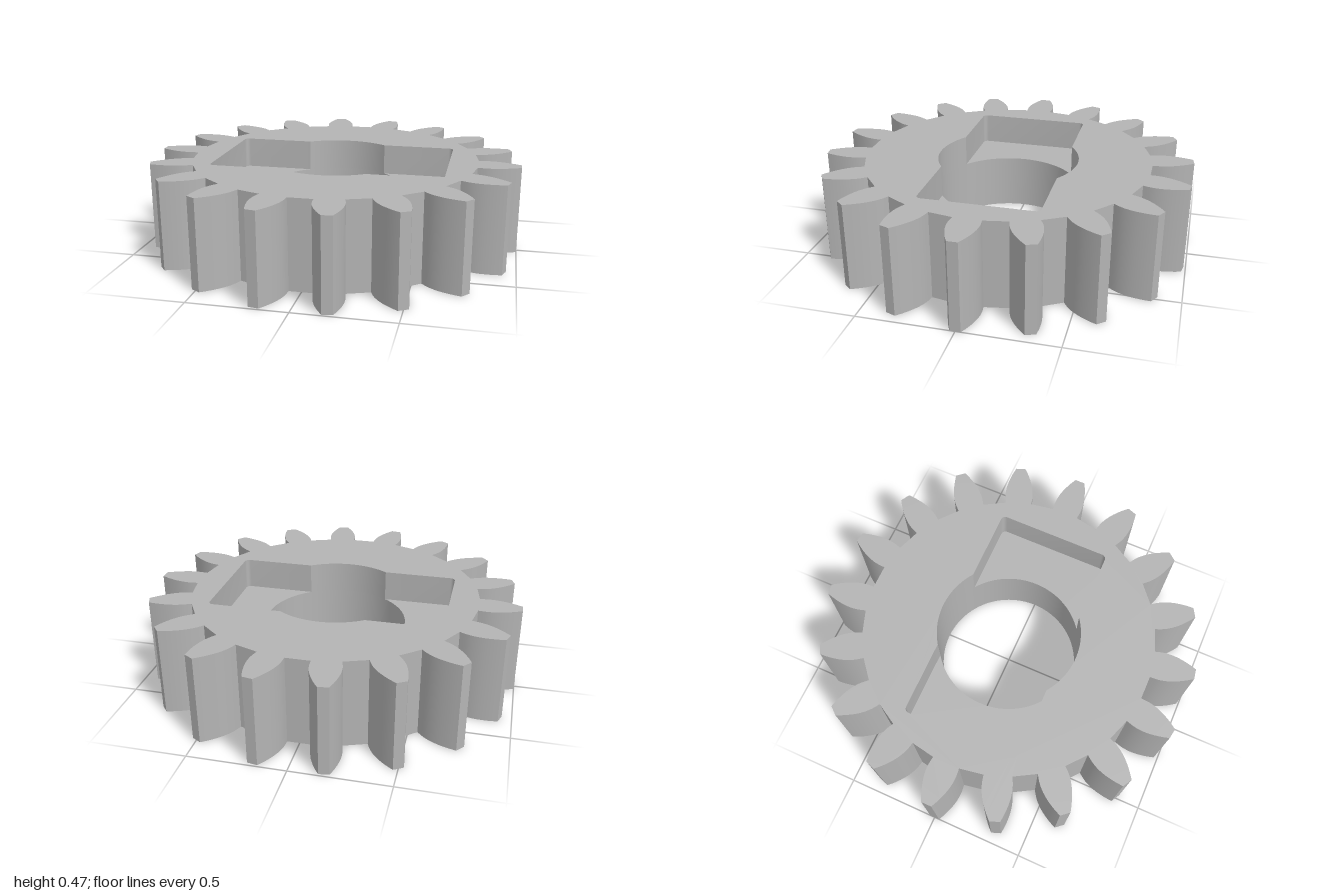
import * as THREE from 'three';
import { toCreasedNormals } from 'three/addons/utils/BufferGeometryUtils.js';

const TEETH = 18, HEIGHT = 0.47, FLOOR = 0.3;
const BORE = 0.383, POCKET_X = 0.62, POCKET_Z = 0.312, CORNER = 0.025;

const V = (x, y) => new THREE.Vector2(x, y);

// Points along an arc, from angle a to angle b
function arc(cx, cy, r, a, b, n) {
  return Array.from({ length: n + 1 }, (_, i) => {
    const t = a + (b - a) * i / n;
    return V(cx + r * Math.cos(t), cy + r * Math.sin(t));
  });
}

// Counter-clockwise outline: one curved tooth repeated around the centre
function gearOutline() {
  const flank = new THREE.SplineCurve([
    V(0.774, 0.072), V(0.82, 0.077), V(0.865, 0.074),
    V(0.91, 0.064), V(0.96, 0.046), V(1, 0.027),
  ]).getPoints(12);
  const tooth = [
    ...flank.map(p => V(p.x, -p.y)),
    ...flank.slice().reverse(),
  ];
  const points = [];
  for (let i = 0; i < TEETH; i++) {
    const a = i * Math.PI * 2 / TEETH;
    tooth.forEach(p => points.push(p.clone().rotateAround(V(0, 0), a)));
  }
  return points;
}

// Flat horizontal face at height y
function face(points, holes, y) {
  const shape = new THREE.Shape(points);
  holes.forEach(h => shape.holes.push(new THREE.Path(h)));
  return new THREE.ShapeGeometry(shape).rotateX(-Math.PI / 2).translate(0, y, 0);
}

// Vertical wall along a closed outline; faces outward for counter-clockwise points
function wall(points, y0, y1) {
  const pos = [];
  points.forEach((a, i) => {
    const b = points[(i + 1) % points.length];
    pos.push(a.x, y0, -a.y, b.x, y0, -b.y, b.x, y1, -b.y);
    pos.push(a.x, y0, -a.y, b.x, y1, -b.y, a.x, y1, -a.y);
  });
  const g = new THREE.BufferGeometry();
  g.setAttribute('position', new THREE.Float32BufferAttribute(pos, 3));
  g.computeVertexNormals();
  return toCreasedNormals(g, 0.45);
}

export function createModel() {
  const group = new THREE.Group();
  group.name = 'gear';
  const grey = new THREE.MeshStandardMaterial({ color: 0xb4b4b4 });
  grey.name = 'grey';
  const add = (name, geometry) => {
    const mesh = new THREE.Mesh(geometry, grey);
    mesh.name = name;
    group.add(mesh);
    return mesh;
  };

  const outline = gearOutline();

  // Angle at which the pocket sides meet the bore
  const meet = Math.asin(POCKET_Z / BORE);
  const cx = POCKET_X - CORNER, cz = POCKET_Z - CORNER;

  // Right end of the pocket with rounded corners, and the bore arcs between the ends
  const rightEnd = [
    ...arc(cx, -cz, CORNER, -Math.PI / 2, 0, 5),
    ...arc(cx, cz, CORNER, 0, Math.PI / 2, 5),
  ];
  const leftEnd = rightEnd.map(p => V(-p.x, -p.y));
  const upperArc = arc(0, 0, BORE, meet, Math.PI - meet, 24);
  const lowerArc = upperArc.map(p => V(-p.x, -p.y));
  const pocket = [...rightEnd, ...upperArc, ...leftEnd, ...lowerArc];

  // Full bore outline shares its points with the pocket
  const sideArc = arc(0, 0, BORE, -meet, meet, 36);
  const otherSide = sideArc.map(p => V(-p.x, -p.y));
  const bore = [...sideArc, ...upperArc.slice(1, -1), ...otherSide, ...lowerArc.slice(1, -1)];

  // Toothed body
  add('toothedRim', wall(outline, 0, HEIGHT));
  add('topFace', face(outline, [pocket], HEIGHT));
  const underside = face(outline, [bore], 0);
  underside.rotateX(Math.PI);
  add('bottomFace', underside);

  // Round bore and the rectangular pocket above it
  add('boreWall', wall(bore.slice().reverse(), 0, FLOOR));
  add('pocketWall', wall(pocket.slice().reverse(), FLOOR, HEIGHT));

  // Pocket floor on either side of the bore
  const floorEnd = [...rightEnd, ...sideArc.slice().reverse()];
  add('pocketFloorLeft', face(floorEnd, [], FLOOR));
  add('pocketFloorRight', face(floorEnd.map(p => V(-p.x, -p.y)), [], FLOOR));

  return group;
}
